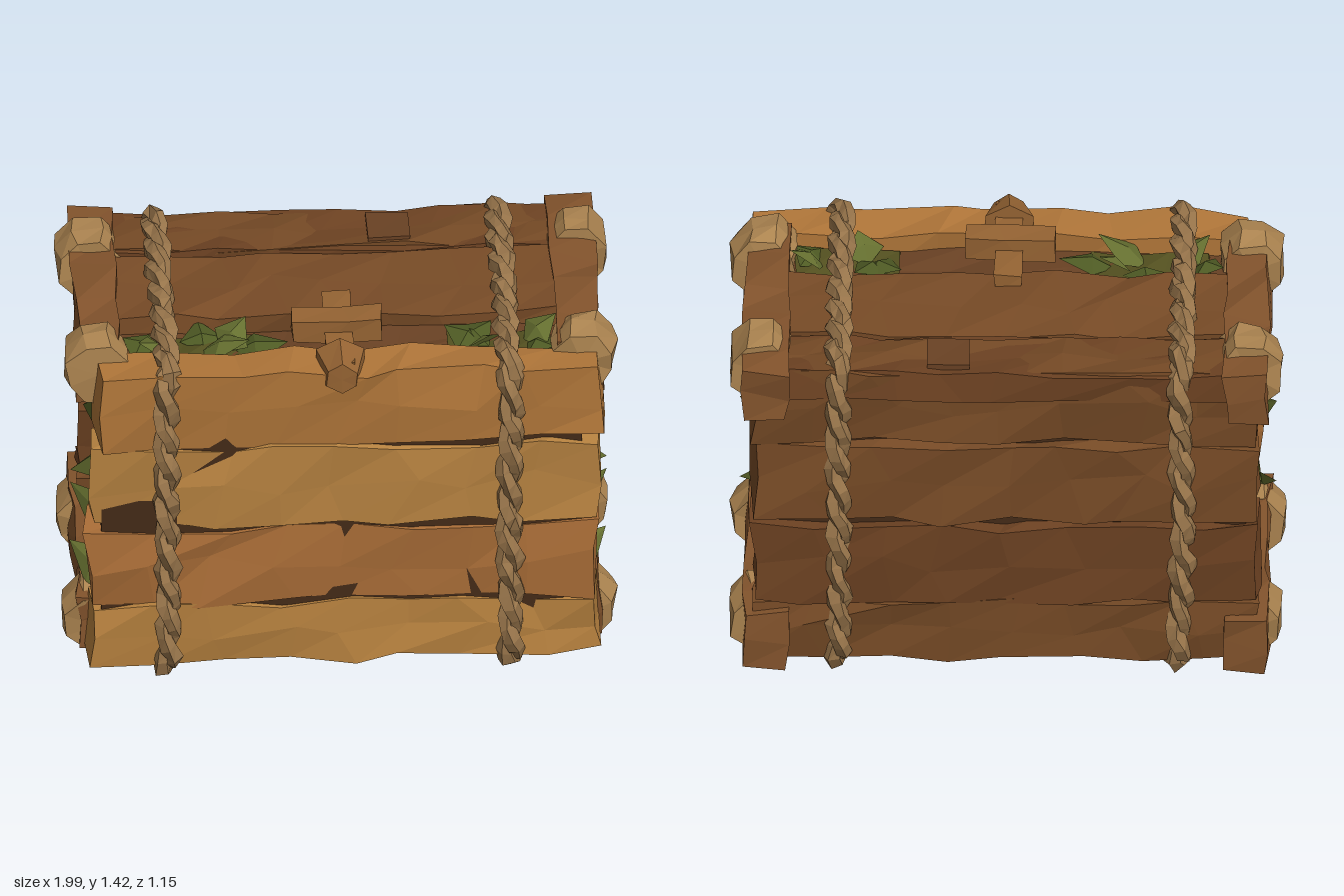
import * as THREE from 'three';

const mat = (color, side = THREE.FrontSide) =>
  new THREE.MeshStandardMaterial({ color, flatShading: true, side });
const M = {
  front: [mat(0xb8823f), mat(0xa96d37), mat(0xb98441), mat(0xb07639)],
  wood: [mat(0x744925), mat(0x6d4222), mat(0x794c27)],
  beam: mat(0x82532c), latch: mat(0x966433),
  inner: mat(0x6a4224), dark: mat(0x452b18),
  wrap: mat(0xac8450), rope: mat(0x97744a), bed: mat(0x545120),
  leaf: mat(0x667030, THREE.DoubleSide), leafDark: mat(0x4f5b24, THREE.DoubleSide),
};

// Repeatable noise from a position, so shared corners move together
function noise(x, y, z, seed) {
  const s = Math.sin(Math.round(x * 1000) * 0.1271 + Math.round(y * 1000) * 0.3117 +
    Math.round(z * 1000) * 0.0747 + seed * 17.13) * 43758.5453;
  return (s - Math.floor(s)) * 2 - 1;
}

// Move each vertex by noise; amount(axis, value) gives the reach along that axis
function roughen(geo, amount, seed) {
  const p = geo.attributes.position;
  for (let i = 0; i < p.count; i++) {
    const v = [p.getX(i), p.getY(i), p.getZ(i)];
    p.setXYZ(i, ...v.map((c, axis) => c + amount(axis, c) * noise(...v, seed + axis)));
  }
  geo.computeVertexNormals();
  return geo;
}

let seed = 1;
function add(parent, name, geo, material, x = 0, y = 0, z = 0) {
  const m = new THREE.Mesh(geo, material);
  m.name = name;
  m.position.set(x, y, z);
  parent.add(m);
  return m;
}

// Hewn plank given by its min and max corners: faces wobble, inner vertices slide along them
function plank(parent, name, x, y, z, material, rough = 0.014) {
  const size = [x, y, z].map(([a, b]) => b - a);
  const seg = size.map(s => Math.min(8, Math.max(1, Math.ceil(s / 0.2))));
  const reach = (axis, c) =>
    Math.abs(c) > size[axis] / 2 - 0.001 ? rough : 0.3 * size[axis] / seg[axis];
  const geo = roughen(new THREE.BoxGeometry(...size, ...seg), reach, seed += 3);
  return add(parent, name, geo, material, (x[0] + x[1]) / 2, (y[0] + y[1]) / 2, (z[0] + z[1]) / 2);
}

// One strand winding around the crate's outline
class Strand extends THREE.Curve {
  constructor(path, phase) { super(); this.path = path; this.phase = phase; }
  getPoint(t, target = new THREE.Vector3()) {
    const u = t % 1, c = this.path.getPointAt(u), d = this.path.getTangentAt(u);
    const across = new THREE.Vector3(1, 0, 0), out = d.cross(across).normalize();
    const a = u * Math.PI * 2 * 17 + this.phase;
    return target.copy(c).addScaledVector(out, Math.cos(a) * 0.018).addScaledVector(across, Math.sin(a) * 0.02);
  }
}

function rope(parent, x) {
  const g = new THREE.Group();
  g.name = 'rope';
  const outline = [[0.46, 1.355], [0.515, 1.28], [0.515, 0.7], [0.515, 0.14], [0.46, 0.065], [0, 0.05],
    [-0.46, 0.065], [-0.52, 0.14], [-0.52, 0.7], [-0.52, 1.29], [-0.46, 1.355], [0, 1.35]];
  const path = new THREE.CatmullRomCurve3(
    outline.map(([z, y]) => new THREE.Vector3(x + 0.012 * noise(z, y, 0, x), y, z)), true, 'catmullrom', 0.15);
  for (const phase of [0, Math.PI]) {
    const geo = new THREE.TubeGeometry(new Strand(path, phase), 110, 0.032, 5, true);
    add(g, 'ropeStrand', roughen(geo, () => 0.006, 5), M.rope);
  }
  parent.add(g);
}

// Folded, drooping leaf from base to tip
function leaf(parent, base, tip, width, up, material) {
  const a = new THREE.Vector3(...base), b = new THREE.Vector3(...tip), n = new THREE.Vector3(...up);
  const side = b.clone().sub(a).cross(n).normalize().multiplyScalar(width / 2);
  const mid = a.clone().lerp(b, 0.4).addScaledVector(n, 0.03);
  const l = mid.clone().add(side).addScaledVector(n, -0.03), r = mid.clone().sub(side).addScaledVector(n, -0.03);
  const geo = new THREE.BufferGeometry().setFromPoints([a, l, mid, l, b, mid, a, mid, r, mid, b, r]);
  geo.computeVertexNormals();
  add(parent, 'leaf', geo, material);
}

// Bulging eight-sided binding around an end beam
function binding(parent, x, y, z) {
  const geo = new THREE.CylinderGeometry(1, 1, 0.165, 8, 2);
  geo.rotateX(Math.PI / 2).rotateZ(Math.PI / 8);
  const p = geo.attributes.position;
  for (let i = 0; i < p.count; i++) {
    const k = Math.abs(p.getZ(i)) < 0.01 ? 1.04 : 0.94;
    p.setXY(i, p.getX(i) * 0.121 * k, p.getY(i) * 0.133 * k);
  }
  add(parent, 'binding', roughen(geo, () => 0.011, seed += 3), M.wrap, x, y, z);
}

export function createModel() {
  const crate = new THREE.Group();
  crate.name = 'crate';

  // Front and back walls: four stacked planks each
  const rows = [[0.095, 0.335], [0.345, 0.66], [0.685, 1.01], [1.03, 1.33]];
  const ends = [[-0.9, 0.91], [-0.91, 0.91], [-0.9, 0.91], [-0.87, 0.93]];
  rows.forEach((y, i) => {
    plank(crate, 'frontPlank', ends[i], y, [0.345, 0.505], M.front[i], 0.02);
    plank(crate, 'backPlank', [-0.9, 0.9], y, [-0.52, -0.3], M.wood[i % 3], 0.018);
  });

  // Lid and floor planks
  plank(crate, 'lidPlank', [-0.8, 0.8], [1.22, 1.33], [-0.525, -0.285], M.wood[1]);
  plank(crate, 'lidPlank', [-0.8, 0.8], [1.22, 1.325], [-0.265, 0.12], M.wood[2]);
  plank(crate, 'sunkenLidPlank', [-0.8, 0.8], [1.18, 1.26], [0.1, 0.36], M.inner);
  plank(crate, 'lidPatch', [0.13, 0.28], [1.28, 1.345], [-0.48, -0.32], M.inner, 0.003);
  for (const [i, z] of [[-0.48, -0.27], [-0.26, 0], [0.01, 0.23], [0.24, 0.44]].entries()) {
    plank(crate, 'floorPlank', [-0.82, 0.82], [0.085, 0.18], z, M.wood[i % 3]);
  }

  // Dark lining behind the gaps between planks
  add(crate, 'lining', new THREE.BoxGeometry(1.5, 1.1, 0.9), M.dark, 0, 0.7, 0);
  for (const z of [0.425, -0.41]) {
    add(crate, 'wallLining', new THREE.BoxGeometry(1.72, 1.1, 0.13), M.dark, 0, 0.7, z);
  }

  for (const s of [-1, 1]) {
    const span = (a, b) => (s > 0 ? [a, b] : [-b, -a]);
    // Recessed upright boards
    plank(crate, 'endBoard', span(0.74, 0.8), [0.2, 1.2], [-0.32, -0.06], M.inner);
    plank(crate, 'endBoard', span(0.74, 0.805), [0.2, 1.2], [-0.06, 0.125], M.wood[1]);
    plank(crate, 'endBoard', span(0.74, 0.79), [0.2, 1.2], [0.125, 0.36], M.inner);
    // End beams, bound at each joint
    plank(crate, 'lowerBeam', span(0.785, 0.935), [0.07, 0.29], [-0.55, 0.37], M.beam, 0.014);
    plank(crate, 'upperBeam', span(0.785, 0.935), [1.14, 1.35], [-0.55, 0.37], M.beam, 0.014);
    for (const [y, z] of [[0.168, 0.28], [0.168, -0.35], [1.267, 0.3], [1.267, -0.35]]) {
      binding(crate, s * 0.872, y, z);
    }
    // Leaves poking out of the end gap
    plank(crate, 'leafBed', span(0.78, 0.82), [0.32, 1.06], [0.2, 0.35], M.bed, 0.012);
    const shoots = [[1.12, 0.98, 0.15], [0.9, 0.76, 0.24], [0.78, 0.62, 0.22], [0.58, 0.7, 0.23],
      [0.54, 0.41, 0.13], [0.33, 0.4, 0.16]];
    shoots.forEach(([y0, y1, z], i) => leaf(crate, [s * 0.8, y0, 0.345],
      [s * (0.91 + 0.05 * (i % 2)), y1, z], 0.16, [s * 0.8, 0.5, -0.2], i % 2 ? M.leaf : M.leafDark));
  }

  // Leaves in the lid gap
  plank(crate, 'leafBed', [-0.72, -0.3], [1.23, 1.27], [0.16, 0.33], M.bed, 0.012);
  plank(crate, 'leafBed', [0.39, 0.76], [1.23, 1.27], [0.16, 0.33], M.bed, 0.012);
  const sprouts = [[-0.66, -0.77, 0.2], [-0.6, -0.72, 0.32], [-0.48, -0.5, 0.1], [-0.42, -0.33, 0.17],
    [-0.38, -0.18, 0.25], [-0.5, -0.32, 0.32], [0.52, 0.38, 0.17], [0.5, 0.54, 0.33], [0.44, 0.55, 0.15],
    [0.66, 0.78, 0.2], [0.66, 0.77, 0.32]];
  sprouts.forEach(([x0, x1, z], i) => leaf(crate, [x0, 1.26, 0.25], [x1, 1.3 + 0.06 * (i % 2), z],
    0.16, [0, 1, 0.1], i % 2 ? M.leaf : M.leafDark));

  // Latch: strap, crossbar and front tab
  plank(crate, 'latchStrap', [-0.05, 0.045], [1.3, 1.37], [0.035, 0.5], M.latch, 0.006);
  plank(crate, 'latchBar', [-0.165, 0.155], [1.325, 1.415], [0.2, 0.295], M.latch, 0.006);
  const tab = new THREE.CylinderGeometry(0.062, 0.1, 0.12, 6).rotateX(Math.PI / 2);
  add(crate, 'latchTab', roughen(tab, () => 0.005, 9), M.latch, 0, 1.32, 0.465);

  // Two ropes tied around the crate
  rope(crate, -0.63);
  rope(crate, 0.605);
  return crate;
}
